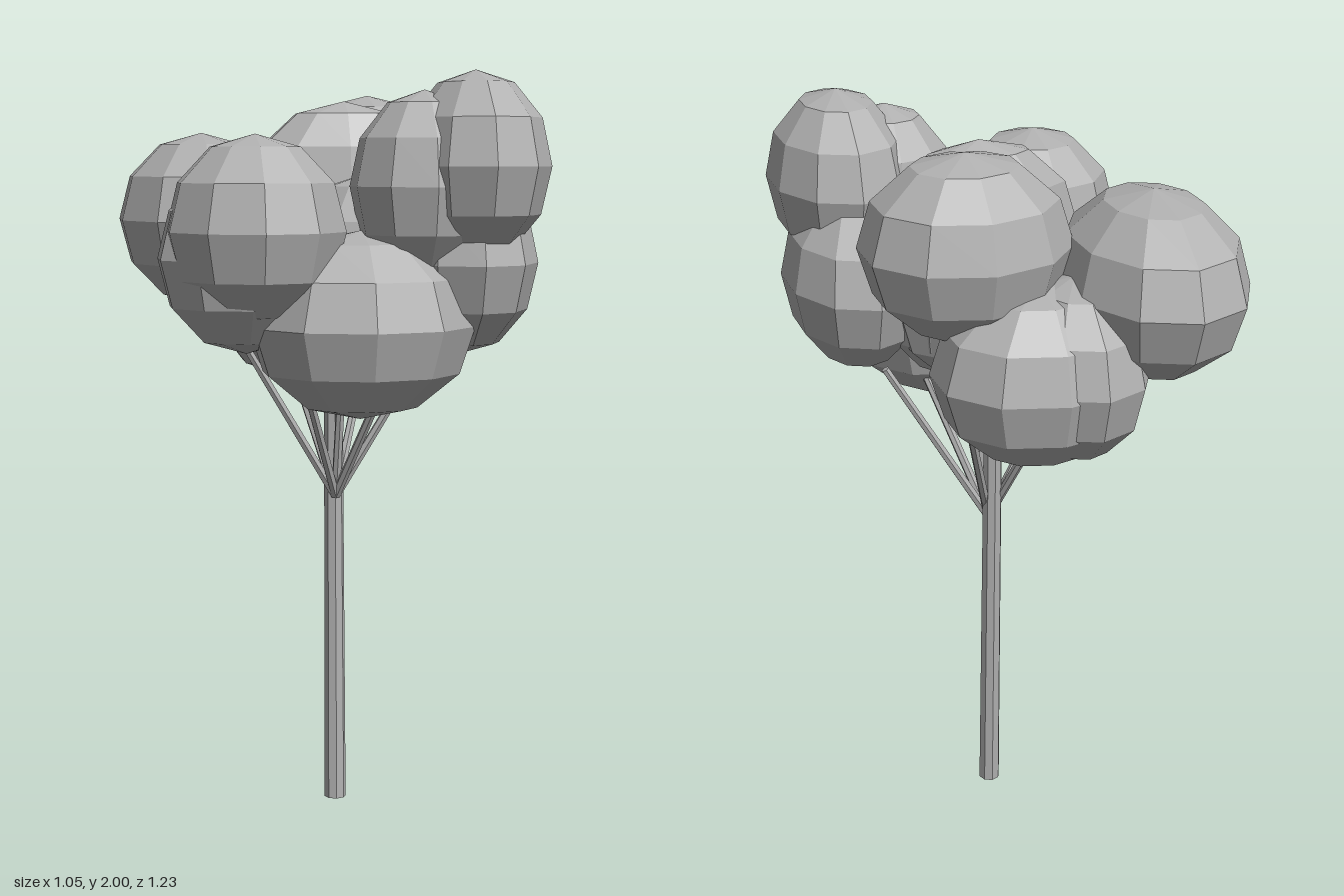
import * as THREE from 'three';

export function createModel() {
  const model = new THREE.Group();
  const grey = new THREE.MeshStandardMaterial({ color: 0xb0b0b0, flatShading: true });
  grey.name = 'plainGrey';

  // Tapered pole between two points
  function pole(name, from, to, r0, r1, sides) {
    const a = new THREE.Vector3(...from), b = new THREE.Vector3(...to);
    const dir = b.clone().sub(a);
    const mesh = new THREE.Mesh(new THREE.CylinderGeometry(r1, r0, dir.length(), sides), grey);
    mesh.name = name;
    mesh.position.copy(a).add(b).multiplyScalar(0.5);
    mesh.quaternion.setFromUnitVectors(new THREE.Vector3(0, 1, 0), dir.normalize());
    model.add(mesh);
  }

  // Slightly leaning trunk
  pole('trunk', [0.038, 0, 0], [0.038, 1.36, -0.05], 0.03, 0.025, 8);

  // Thin branches fanning out from one fork
  const tips = [
    [-0.26, 1.36, 0.055], [0.31, 1.32, 0.04], [0.2, 1.36, 0.25], [-0.12, 1.36, 0.24],
    [-0.1, 1.36, -0.26], [0.19, 1.36, -0.25], [0.05, 1.45, 0.12],
  ];
  for (const tip of tips) pole('branch', [0.038, 0.86, 0], tip, 0.013, 0.011, 6);

  // Leaf clumps: centre x, y, z then radius x, y, z
  const clumps = [
    [-0.30, 1.61, -0.29, 0.24, 0.24, 0.33],
    [0.15, 1.71, -0.165, 0.275, 0.24, 0.245],
    [0.34, 1.76, 0.35, 0.19, 0.24, 0.26],
    [-0.22, 1.60, 0.37, 0.23, 0.24, 0.24],
    [0.06, 1.69, 0.00, 0.27, 0.24, 0.135],
    [0.05, 1.36, 0.345, 0.295, 0.24, 0.26],
    [0.21, 1.71, 0.35, 0.19, 0.24, 0.19],
    [0.335, 1.515, 0.24, 0.19, 0.24, 0.28],
    [0.00, 1.40, -0.29, 0.28, 0.24, 0.24],
    [-0.09, 1.41, -0.30, 0.19, 0.24, 0.255],
    [-0.24, 1.53, 0.33, 0.23, 0.24, 0.20],
    [0.10, 1.50, 0.13, 0.21, 0.24, 0.24],
    [0.03, 1.49, 0.06, 0.26, 0.24, 0.20],
  ];
  // A ten-sided ball with corners facing front and back
  const ball = new THREE.SphereGeometry(1, 10, 6).rotateY(Math.PI / 2);
  for (const [x, y, z, rx, ry, rz] of clumps) {
    const clump = new THREE.Mesh(ball, grey);
    clump.name = 'leafClump';
    clump.position.set(x, y, z);
    clump.scale.set(rx, ry, rz);
    model.add(clump);
  }
  return model;
}
